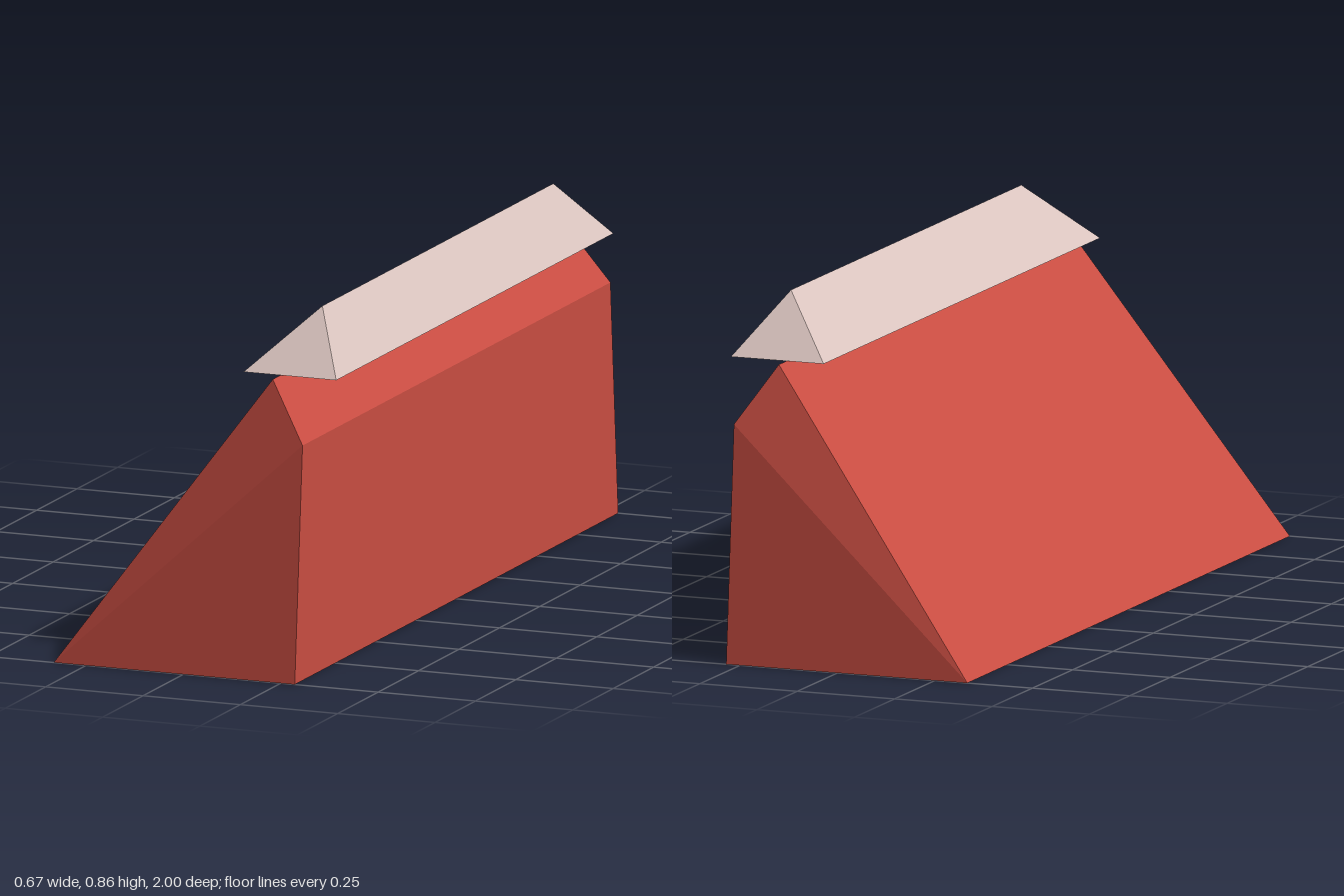
import * as THREE from 'three';

const red = new THREE.MeshStandardMaterial({ color: 0xc94d42 });
red.name = 'red';
const paleStone = new THREE.MeshStandardMaterial({ color: 0xd9c3be });
paleStone.name = 'pale stone';

// Solid spanning a front ring [x, y, z] (counter-clockwise from the front) and its mirror at -z.
function mirroredSolid(name, ring, material) {
  const positions = [];
  const back = ring.map(([x, y, z]) => [x, y, -z]);
  const tri = (a, b, c) => positions.push(...a, ...b, ...c);

  // long sides
  ring.forEach((a, i) => {
    const j = (i + 1) % ring.length;
    tri(a, back[i], back[j]);
    tri(a, back[j], ring[j]);
  });
  // folded end faces, fanned from the first corner
  for (let i = 1; i < ring.length - 1; i++) {
    tri(ring[0], ring[i], ring[i + 1]);
    tri(back[0], back[i + 1], back[i]);
  }

  const geometry = new THREE.BufferGeometry();
  geometry.setAttribute('position', new THREE.Float32BufferAttribute(positions, 3));
  geometry.computeVertexNormals();
  const mesh = new THREE.Mesh(geometry, material);
  mesh.name = name;
  return mesh;
}

export function createModel() {
  const group = new THREE.Group();
  group.name = 'ridgedBlock';

  // wedge body: long slope on the right, upright wall and short slope on the left
  group.add(mirroredSolid('wedgeBody', [
    [-0.333, 0, 1],
    [0.286, 0, 1],
    [0.286, 0.571, 0.952],
    [0.19, 0.714, 0.905],
  ], red));

  // hipped cap resting on the ridge
  group.add(mirroredSolid('ridgeCap', [
    [0.095, 0.714, 0.857],
    [0.333, 0.714, 0.857],
    [0.238, 0.857, 0.714],
  ], paleStone));

  return group;
}
